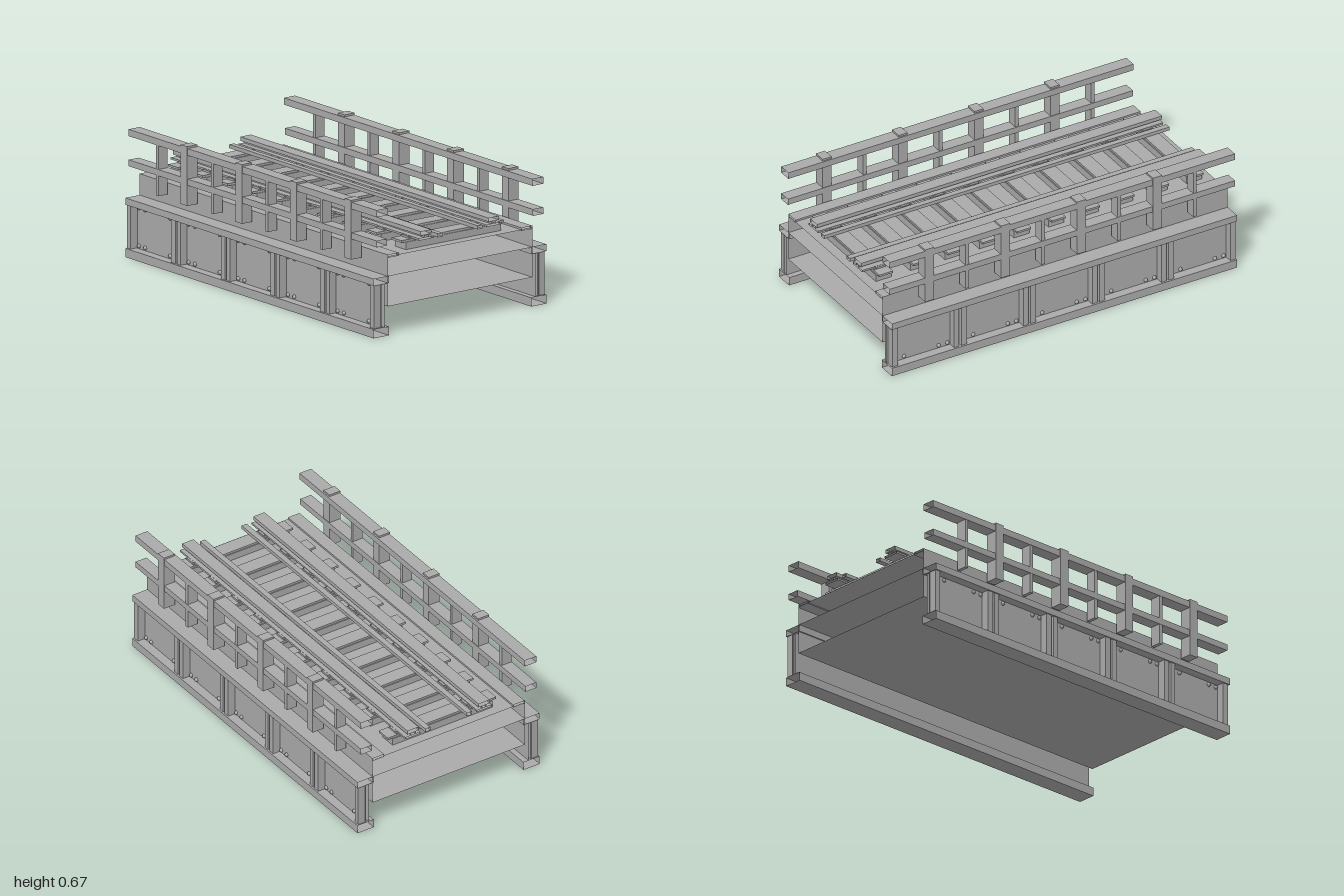
import * as THREE from 'three';

const steel = new THREE.MeshStandardMaterial({ color: 0xaaaaaa, side: THREE.DoubleSide });
steel.name = 'grey steel';

export function createModel() {
  const model = new THREE.Group();
  model.name = 'railwayBridgeSection';

  // solid block given by its limits on each axis
  function block(parent, name, x0, x1, y0, y1, z0, z1) {
    const geo = new THREE.BoxGeometry(x1 - x0, y1 - y0, z1 - z0);
    const mesh = new THREE.Mesh(geo, steel);
    mesh.name = name;
    mesh.position.set((x0 + x1) / 2, (y0 + y1) / 2, (z0 + z1) / 2);
    parent.add(mesh);
    return mesh;
  }

  // full-length hollow section, open at both ends so that sections can be chained
  function section(parent, name, y0, y1, z0, z1) {
    const mesh = block(parent, name, -1, 1, y0, y1, z0, z1);
    const index = Array.from(mesh.geometry.index.array).slice(12);
    mesh.geometry.clearGroups();
    mesh.geometry.setIndex(index);
    return mesh;
  }

  // deck slab with the floor box under it
  section(model, 'deckSlab', 0.305, 0.405, -0.457, 0.457);
  section(model, 'floorBox', 0.15, 0.305, -0.457, 0.457);

  // one side, built towards +z
  function buildSide() {
    const side = new THREE.Group();
    section(side, 'deckCurb', 0.4, 0.415, 0.388, 0.457);

    // plate girder
    section(side, 'topFlange', 0.27, 0.305, 0.45, 0.547);
    section(side, 'bottomFlange', 0, 0.045, 0.45, 0.547);
    section(side, 'girderWeb', 0.045, 0.27, 0.48, 0.498);

    // stiffeners and bolts of the five girder panels
    const boltGeo = new THREE.SphereGeometry(0.011, 8, 6);
    for (let i = 0; i < 5; i++) {
      const x = -1 + 0.4 * i;
      block(side, 'stiffener', x + 0.005, x + 0.034, 0.047, 0.27, 0.495, 0.54);
      block(side, 'stiffener', x + 0.36, x + 0.393, 0.047, 0.27, 0.495, 0.54);
      for (const dx of [0.05, 0.1, 0.3, 0.347]) {
        for (const y of [0.06, 0.255]) {
          const bolt = new THREE.Mesh(boltGeo, steel);
          bolt.name = 'bolt';
          bolt.position.set(x + dx, y, 0.499);
          side.add(bolt);
        }
      }
    }

    // railing
    section(side, 'handrail', 0.62, 0.655, 0.457, 0.527);
    section(side, 'middleRail', 0.465, 0.498, 0.462, 0.527);
    for (let i = 0; i < 4; i++) {
      const x = -0.55 + 0.44 * i;
      block(side, 'railingPost', x - 0.026, x + 0.026, 0.36, 0.665, 0.465, 0.53);
      block(side, 'thinRailingPost', x - 0.23, x - 0.21, 0.36, 0.62, 0.468, 0.525);
    }

    // running rail and the guard rail inside it
    section(side, 'railFoot', 0.456, 0.466, 0.17, 0.26);
    section(side, 'railWeb', 0.466, 0.48, 0.2, 0.225);
    section(side, 'railHead', 0.48, 0.5, 0.18, 0.247);
    section(side, 'guardRail', 0.453, 0.472, 0.11, 0.14);
    return side;
  }
  const frontSide = buildSide();
  frontSide.name = 'frontSide';
  const backSide = buildSide();
  backSide.name = 'backSide';
  backSide.scale.z = -1;
  model.add(frontSide, backSide);

  // sleepers with bearing plates and rail clips
  for (let i = 0; i < 10; i++) {
    const x = -0.9 + 0.2 * i;
    block(model, 'sleeper', x - 0.045, x + 0.045, 0.405, 0.443, -0.3, 0.3);
    block(model, 'sleeperTop', x - 0.04, x + 0.04, 0.443, 0.454, -0.325, 0.325);
    for (const s of [-1, 1]) {
      block(model, 'bearingPlate', x - 0.035, x + 0.035, 0.454, 0.46, s * 0.215 - 0.055, s * 0.215 + 0.055);
      for (const z of [0.162, 0.265]) {
        block(model, 'railClip', x - 0.025, x + 0.025, 0.458, 0.465, s * z - 0.006, s * z + 0.006);
      }
    }
  }
  return model;
}
